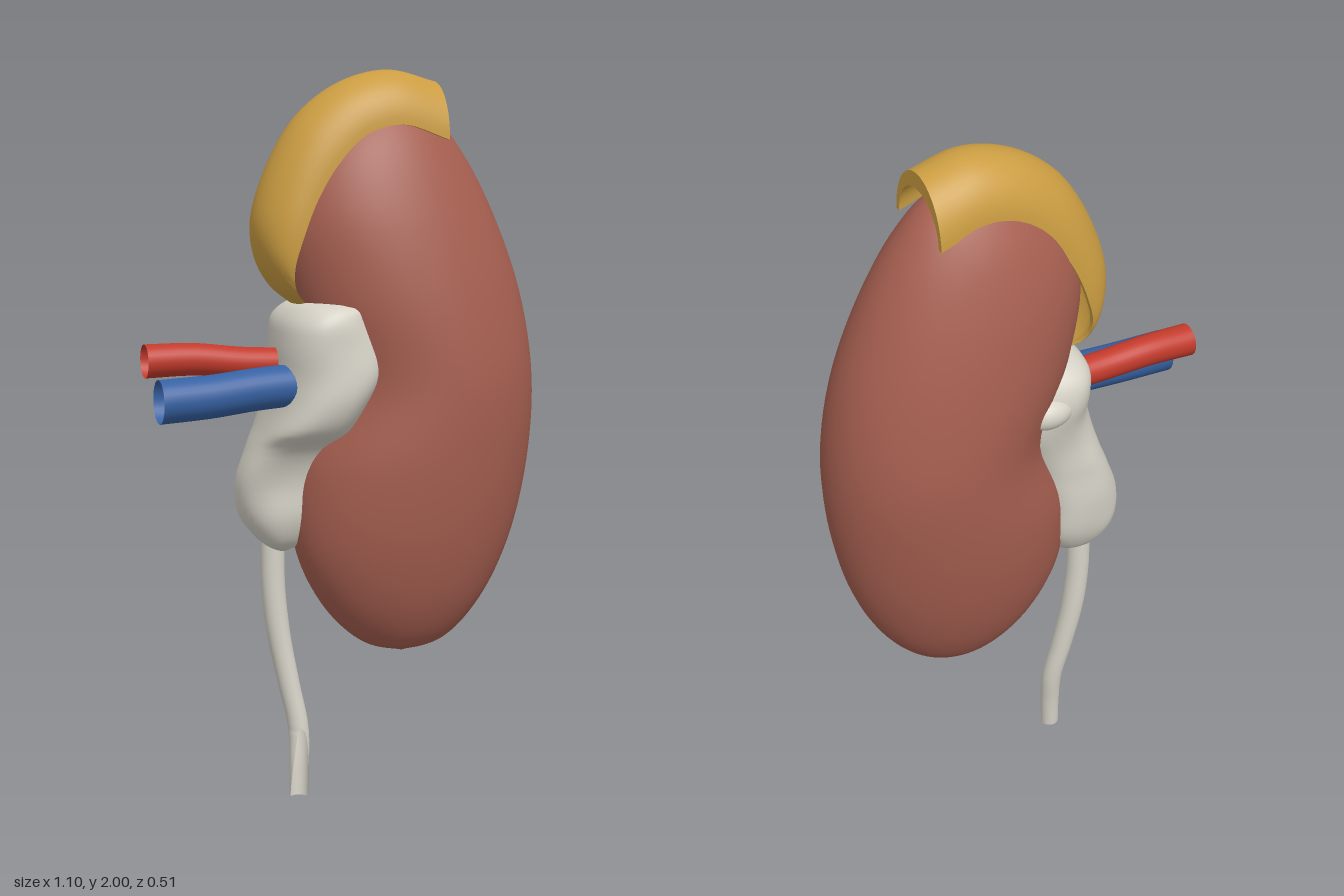
import * as THREE from 'three';
import { toCreasedNormals } from 'three/addons/utils/BufferGeometryUtils.js';

const V = (x, y, z) => new THREE.Vector3(x, y, z);
const spline = (rows) => new THREE.CatmullRomCurve3(rows.map((r) => V(...r)));

// Skin a list of rings (each an array of points); closed joins each ring's ends
function loft(rings, closed = true) {
  const n = rings[0].length, pos = [], idx = [];
  rings.forEach((r) => r.forEach((p) => pos.push(p.x, p.y, p.z)));
  for (let i = 0; i < rings.length - 1; i++) {
    for (let j = 0; j < (closed ? n : n - 1); j++) {
      const k = (j + 1) % n, a = i * n + j, b = a + n, c = i * n + k, d = c + n;
      idx.push(a, b, c, b, d, c);
    }
  }
  const g = new THREE.BufferGeometry();
  g.setAttribute('position', new THREE.Float32BufferAttribute(pos, 3));
  g.setIndex(idx);
  g.computeVertexNormals();
  return g;
}

const range = (n, f) => Array.from({ length: n + 1 }, (_, i) => f(i / n));
const ring = (n, f) => Array.from({ length: n }, (_, j) => f((j / n) * Math.PI * 2));
const spow = (v, e) => Math.sign(v) * Math.abs(v) ** e;

// Bean-shaped body: left edge, right edge and height from pole to pole
function bodyGeometry() {
  const edges = spline([
    [0.17, 0.17, 0.404], [0.05, 0.295, 0.441], [-0.06, 0.4, 0.55], [-0.135, 0.483, 0.719],
    [-0.135, 0.533, 0.931], [-0.06, 0.545, 1.167], [-0.14, 0.51, 1.403], [-0.17, 0.435, 1.615],
    [-0.11, 0.345, 1.784], [0.01, 0.25, 1.893], [0.13, 0.13, 1.93],
  ]);
  return loft(range(60, (t) => {
    const e = edges.getPoint(t);
    const c = (e.x + e.y) / 2, a = (e.y - e.x) / 2, d = 0.254 * Math.sin(Math.PI * t);
    return ring(56, (q) => V(c + a * Math.cos(q), e.z, (1.167 - e.z) * 0.027 + d * Math.sin(q)));
  }));
}

// Lumpy collecting funnel: x limits and z limits at each height
function pelvisGeometry() {
  const rows = [
    [0.7, -0.18, -0.15, -0.05, -0.02], [0.73, -0.225, -0.1, -0.1, 0.03], [0.8, -0.275, -0.06, -0.14, 0.06],
    [0.9, -0.287, -0.04, -0.15, 0.07], [1.0, -0.26, 0, -0.15, 0.11], [1.05, -0.24, 0.02, -0.155, 0.18],
    [1.12, -0.215, 0.05, -0.16, 0.21], [1.2, -0.2, 0.08, -0.17, 0.222], [1.28, -0.2, 0.075, -0.18, 0.22],
    [1.34, -0.19, 0.06, -0.17, 0.21], [1.38, -0.15, 0.05, -0.13, 0.18], [1.395, -0.06, -0.02, -0.02, 0.04],
  ];
  const xs = spline(rows.map((r) => [r[1], r[2], r[0]]));
  const zs = spline(rows.map((r) => [r[3], r[4], r[0]]));
  return loft(range(44, (t) => {
    const x = xs.getPoint(t), z = zs.getPoint(t);
    return ring(40, (q) => {
      const k = 1 + 0.03 * Math.sin(3 * q + 20 * x.z) - 0.02;
      return V(
        (x.x + x.y) / 2 + ((x.y - x.x) / 2) * k * spow(Math.cos(q), 0.8),
        x.z,
        (z.x + z.y) / 2 + ((z.y - z.x) / 2) * k * spow(Math.sin(q), 0.8));
    });
  }));
}

// Drain tube, slit open along the front near its lower end
function ureterGeometry() {
  const path = spline([
    [-0.125, 0, 0], [-0.122, 0.1, -0.006], [-0.121, 0.2, -0.018], [-0.145, 0.33, -0.032],
    [-0.17, 0.47, -0.042], [-0.183, 0.6, -0.045], [-0.185, 0.76, -0.045],
  ]);
  return loft(range(60, (t) => {
    const p = path.getPoint(t);
    const open = p.y < 0.2 ? 0.35 + 1.2 * (1 - p.y / 0.2) : 0;
    const r = 0.026 + 0.007 * Math.min(1, p.y / 0.5);
    return range(24, (s) => {
      const q = Math.PI / 2 + open + s * (2 * Math.PI - 2 * open);
      return V(p.x + r * Math.cos(q), p.y, p.z + r * Math.sin(q));
    });
  }), false);
}

// Open-ended vessel running along x with a tapering radius
function vesselGeometry(points, r0, r1) {
  const path = spline(points);
  return loft(range(24, (t) => {
    const p = path.getPoint(t), r = r0 + (r1 - r0) * t;
    return ring(28, (q) => V(p.x, p.y + r * Math.cos(q), p.z + r * Math.sin(q)));
  }));
}

// Crescent cap: a thick half-pipe between its crest line and its lower rim
function capGeometry() {
  const crest = spline([
    [0.262, 1.97, 0], [0.13, 2.0, 0], [0, 1.97, 0], [-0.12, 1.885, 0], [-0.205, 1.75, 0],
    [-0.25, 1.6, 0], [-0.235, 1.5, 0], [-0.19, 1.425, 0], [-0.125, 1.37, 0],
  ]);
  // z holds the half width
  const rim = spline([
    [0.262, 1.815, 0.125], [0.13, 1.855, 0.125], [0.03, 1.83, 0.125], [-0.05, 1.755, 0.128],
    [-0.11, 1.66, 0.13], [-0.15, 1.56, 0.13], [-0.17, 1.48, 0.12], [-0.16, 1.425, 0.1], [-0.11, 1.375, 0.05],
  ]);
  const rings = range(56, (t) => {
    const o = crest.getPoint(t), e = rim.getPoint(t);
    const arc = (k, w) => range(24, (s) => {
      const h = Math.sin(Math.PI * s) * k;
      return V(e.x + (o.x - e.x) * h, e.y + (o.y - e.y) * h, e.z * w * Math.cos(Math.PI * s));
    });
    return [...arc(1, 1), ...arc(0.72, 0.88).reverse()];
  });
  // Close both ends across the wall thickness
  const flat = (r) => r.map((_, j) => (j < 25 ? r[j].clone() : r[j]).clone().lerp(r[49 - j], 0.5));
  return toCreasedNormals(loft([flat(rings[0]), ...rings, flat(rings[56])]), 0.8);
}

export function createModel() {
  const mat = (name, color, side = THREE.DoubleSide) => {
    const m = new THREE.MeshStandardMaterial({ color, side });
    m.name = name;
    return m;
  };
  const flesh = mat('reddish brown', 0xa65f50, THREE.FrontSide);
  const ochre = mat('ochre', 0xcb9d42);
  const ivory = mat('ivory', 0xd6d2c7);
  const red = mat('red', 0xc23a2b);
  const blue = mat('blue', 0x3661a2);

  const model = new THREE.Group();
  model.name = 'kidney';
  const add = (name, geometry, material) => {
    const m = new THREE.Mesh(geometry, material);
    m.name = name;
    model.add(m);
    return m;
  };

  add('kidneyBody', bodyGeometry(), flesh);
  add('adrenalCap', capGeometry(), ochre);
  add('renalPelvis', pelvisGeometry(), ivory);
  add('ureter', ureterGeometry(), ivory);

  // Small branch reaching round the back of the body
  const branch = add('pelvisBranch', new THREE.SphereGeometry(1, 24, 16), ivory);
  branch.scale.set(0.07, 0.045, 0.045);
  branch.position.set(-0.02, 1.27, -0.155);

  add('artery', vesselGeometry(
    [[-0.55, 1.242, 0.005], [-0.42, 1.243, 0.01], [-0.28, 1.23, 0.02], [-0.12, 1.225, 0.024]], 0.045, 0.04), red);
  add('vein', vesselGeometry(
    [[-0.54, 1.147, 0.112], [-0.4, 1.155, 0.108], [-0.27, 1.168, 0.1], [-0.1, 1.178, 0.092]], 0.058, 0.056), blue);
  return model;
}
